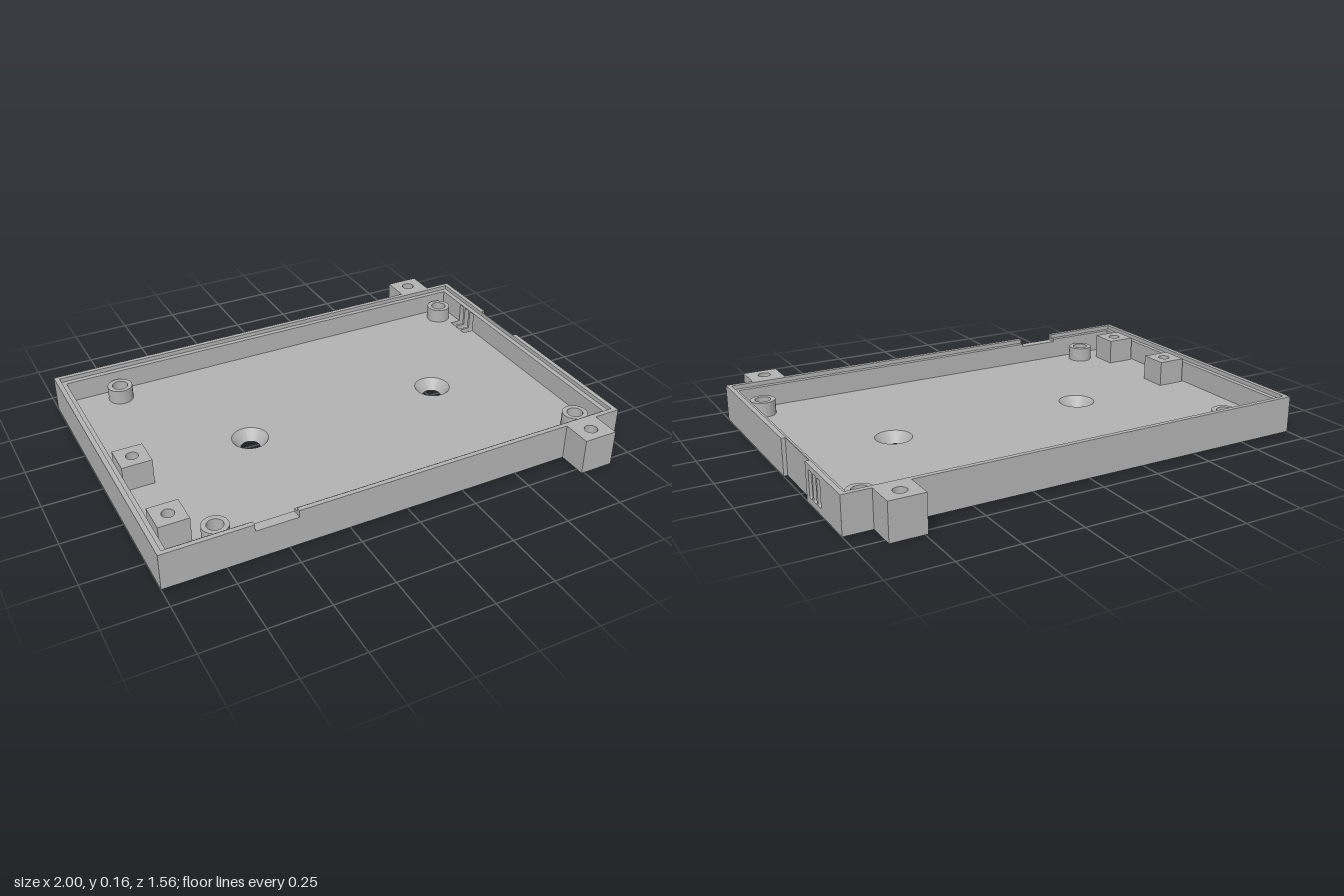
import * as THREE from 'three';
import { toCreasedNormals } from 'three/addons/utils/BufferGeometryUtils.js';

const X = 1, Z = 0.656;            // outer half sizes of the tray
const TOP = 0.155, LEDGE = 0.137;  // lip and inner ledge heights
const FLOOR = 0.045;
const LIP = 0.02, WALL = 0.042;    // lip and full wall thickness
const RECESS = 0.984;              // recessed face on the right-hand wall
const SLOT_Y = [0.025, 0.134];
const SLOTS = [[-0.464, -0.435], [-0.423, -0.393], [-0.381, -0.351]];
const SCREWS = [-0.37, 0.513];

export function createModel() {
  const model = new THREE.Group();
  model.name = 'enclosureTray';
  const plastic = new THREE.MeshStandardMaterial({ color: 0xb2b2b2 });
  plastic.name = 'grey plastic';

  const add = (name, geometry) => {
    const mesh = new THREE.Mesh(geometry, plastic);
    mesh.name = name;
    model.add(mesh);
    return mesh;
  };
  const polygon = (pts) => new THREE.Shape(pts.map(([a, b]) => new THREE.Vector2(a, b)));
  const rect = (a0, a1, b0, b1) => polygon([[a0, b0], [a1, b0], [a1, b1], [a0, b1]]);
  const circle = (x, y, r) => new THREE.Path().absarc(x, y, r, 0, Math.PI * 2, true);
  const extrude = (shape, depth) => toCreasedNormals(
    new THREE.ExtrudeGeometry(shape, { depth, bevelEnabled: false, curveSegments: 24 }), 0.6);

  // Plan shape drawn in x, z and extruded between two heights
  const slab = (name, shape, y0, y1) =>
    add(name, extrude(shape, y1 - y0).rotateX(Math.PI / 2).translate(0, y1, 0));
  // Elevation drawn in x, y and extruded along z
  const frontPlate = (name, shape, z0, z1) =>
    add(name, extrude(shape, z1 - z0).translate(0, 0, z0));
  // Elevation drawn in -z, y and extruded along x
  const sidePlate = (name, shape, x0, x1) =>
    add(name, extrude(shape, x1 - x0).rotateY(Math.PI / 2).translate(x0, 0, 0));

  // Vent slot outline with small rounded corners
  const slotHole = ([z0, z1]) => {
    const [b, t] = SLOT_Y, l = -z1, r = -z0, c = 0.007;
    const p = new THREE.Path();
    p.moveTo(l + c, b);
    p.lineTo(r - c, b).quadraticCurveTo(r, b, r, b + c);
    p.lineTo(r, t - c).quadraticCurveTo(r, t, r - c, t);
    p.lineTo(l + c, t).quadraticCurveTo(l, t, l, t - c);
    p.lineTo(l, b + c).quadraticCurveTo(l, b, l + c, b);
    return p;
  };
  const vented = (shape) => {
    shape.holes.push(...SLOTS.map(slotHole));
    return shape;
  };

  // Floor: plain lower layer, upper layer with vent pockets at its right edge
  const fx = X - WALL, fz = Z - WALL;
  const pockets = SLOTS.flatMap(([z0, z1]) => [[fx, z0], [0.91, z0], [0.91, z1], [fx, z1]]);
  const lower = rect(-fx, fx, -fz, fz);
  const upper = polygon([[-fx, -fz], [fx, -fz], ...pockets, [fx, fz], [-fx, fz]]);
  for (const s of [lower, upper]) s.holes.push(...SCREWS.map((x) => circle(x, 0, 0.077)));
  slab('floorBase', lower, 0, SLOT_Y[0]);
  slab('floorTop', upper, SLOT_Y[0], FLOOR);

  // Countersunk screw holes
  for (const x of SCREWS) {
    const profile = [[0.077, FLOOR], [0.04, 0], [0.077, 0]].map(([r, y]) => new THREE.Vector2(r, y));
    add('countersink', toCreasedNormals(new THREE.LatheGeometry(profile, 48), 0.6)).position.x = x;
  }

  // Front wall, notched at the rim, and plain back wall
  const notched = (x, h) => polygon([[-x, 0], [x, 0], [x, h],
    [-0.46, h], [-0.46, 0.125], [-0.635, 0.125], [-0.635, h], [-x, h]]);
  frontPlate('frontWall', notched(X, TOP), Z - LIP, Z);
  frontPlate('frontLedge', notched(X - LIP, LEDGE), Z - WALL, Z - LIP);
  frontPlate('backWall', rect(-X, X, 0, TOP), -Z, LIP - Z);
  frontPlate('backLedge', rect(LIP - X, X - LIP, 0, LEDGE), LIP - Z, WALL - Z);

  // Left-hand wall in the plan
  const zi = Z - LIP;
  sidePlate('sideWall', rect(-zi, zi, 0, TOP), -X, LIP - X);
  sidePlate('sideLedge', rect(-fz, fz, 0, LEDGE), LIP - X, WALL - X);

  // Vented wall: ledge, thin lip and two outer pads leaving a recess between
  sidePlate('ventLedge', vented(rect(-fz, fz, 0, LEDGE)), X - WALL, X - LIP);
  sidePlate('ventLip', vented(rect(-zi, zi, 0, TOP)), X - LIP, RECESS);
  sidePlate('ventPad', vented(rect(0.32, zi, 0, TOP)), RECESS, X);
  sidePlate('plainPad', rect(-zi, 0.064, 0, TOP), RECESS, X);

  // Square block with a blind hole
  const block = (name, x0, x1, z0, z1, hx, hz, r, y0, plugTop) => {
    const shape = rect(x0, x1, z0, z1);
    shape.holes.push(circle(hx, hz, r));
    slab(name, shape, y0, TOP);
    add(name + 'HoleBottom', new THREE.CylinderGeometry(r, r, plugTop - y0, 48))
      .position.set(hx, (y0 + plugTop) / 2, hz);
  };

  // Outer mounting tabs
  block('frontTab', 0.738, 0.884, Z, 0.78, 0.81, 0.718, 0.027, 0, FLOOR);
  block('backTab', 0.738, 0.884, -0.78, -Z, 0.81, -0.718, 0.027, 0, FLOOR);

  // Inner square posts
  for (const z of [0.052, 0.452]) {
    block('squarePost', -0.949, -0.825, z - 0.062, z + 0.062, -0.887, z, 0.025, FLOOR, FLOOR + 0.004);
  }

  // Round standoffs
  for (const [x, z] of [[-0.745, -0.545], [0.884, -0.545], [-0.741, 0.534], [0.88, 0.534]]) {
    const ring = new THREE.Shape().absarc(x, z, 0.053, 0, Math.PI * 2, false);
    ring.holes.push(circle(x, z, 0.033));
    slab('standoff', ring, FLOOR, 0.108);
  }
  return model;
}
